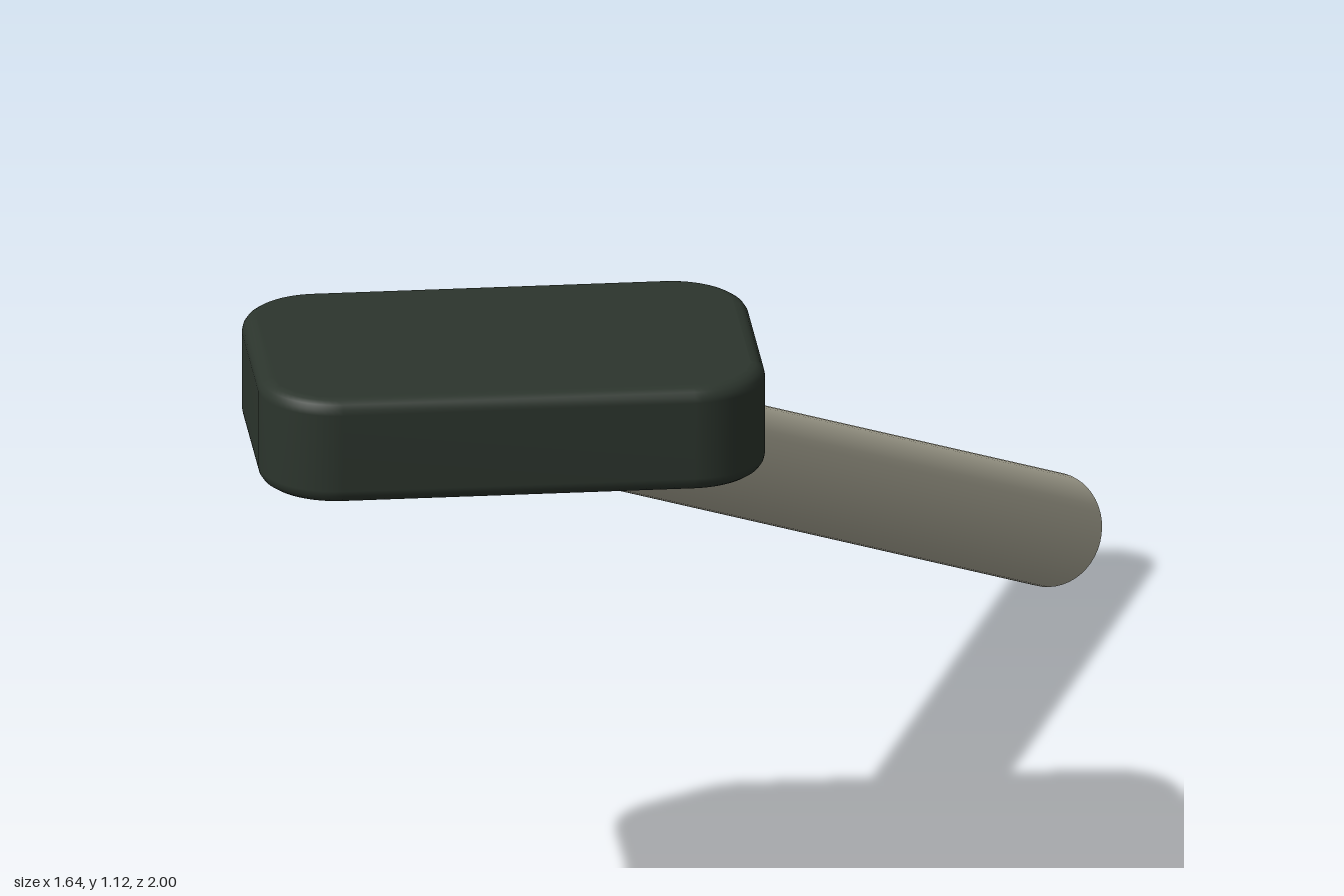
import * as THREE from 'three';
import { mergeVertices } from 'three/addons/utils/BufferGeometryUtils.js';

// Rounded rectangle centred on the origin
function roundedRect(w, d, r) {
  const x = w / 2, y = d / 2, s = new THREE.Shape();
  s.absarc(x - r, y - r, r, 0, Math.PI / 2);
  s.absarc(-x + r, y - r, r, Math.PI / 2, Math.PI);
  s.absarc(-x + r, -y + r, r, Math.PI, Math.PI * 1.5);
  s.absarc(x - r, -y + r, r, Math.PI * 1.5, Math.PI * 2);
  s.closePath();
  return s;
}

export function createModel() {
  const model = new THREE.Group();
  const darkGreen = new THREE.MeshStandardMaterial({ color: 0x2c352d });
  darkGreen.name = 'dark green';
  const paleWood = new THREE.MeshStandardMaterial({ color: 0xb1ae9c });
  paleWood.name = 'pale wood';

  // Head: a flat slab with round corners and soft edges
  const w = 0.88, h = 0.19, d = 0.545, bevel = 0.025;
  let slab = new THREE.ExtrudeGeometry(roundedRect(w - 2 * bevel, d - 2 * bevel, 0.11), {
    depth: h - 2 * bevel, bevelThickness: bevel, bevelSize: bevel, bevelSegments: 4, curveSegments: 8,
  });
  slab.translate(0, 0, -(h - 2 * bevel) / 2);
  slab.rotateX(-Math.PI / 2);
  slab.deleteAttribute('normal');
  slab.deleteAttribute('uv');
  slab = mergeVertices(slab, 1e-4);
  slab.computeVertexNormals();
  const head = new THREE.Mesh(slab, darkGreen);
  head.name = 'head';
  head.position.set(-0.382, 1.03, 0.7275);
  model.add(head);

  // Handle: a slanted round bar running up into the head
  const foot = new THREE.Vector3(0.734, 0.091, -0.934);
  const top = new THREE.Vector3(-0.388, 1.006, 0.729);
  const axis = top.clone().sub(foot);
  const handle = new THREE.Mesh(new THREE.CylinderGeometry(0.1, 0.1, axis.length(), 48), paleWood);
  handle.name = 'handle';
  handle.position.copy(foot).add(top).multiplyScalar(0.5);
  handle.quaternion.setFromUnitVectors(new THREE.Vector3(0, 1, 0), axis.normalize());
  model.add(handle);

  return model;
}
